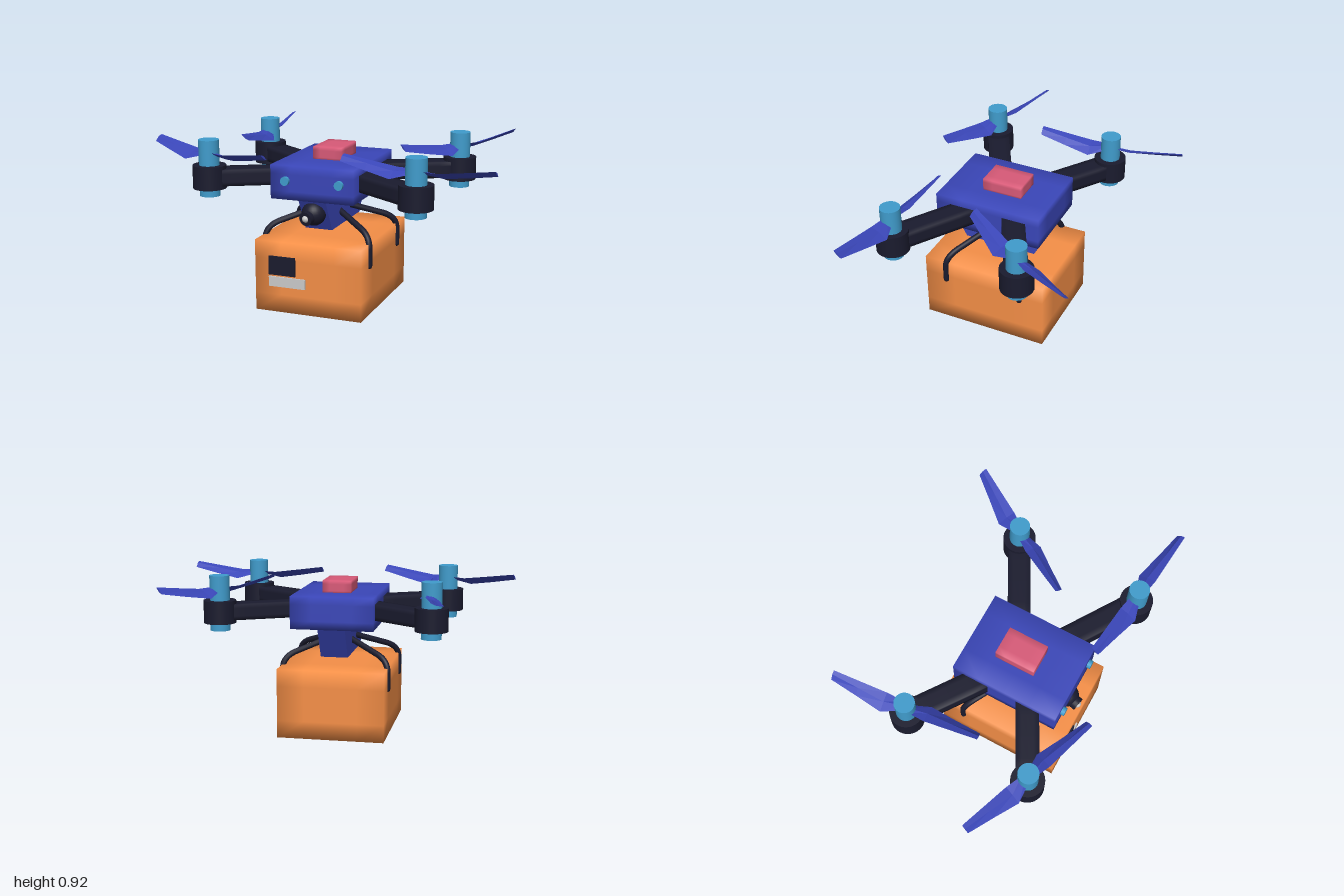
import * as THREE from 'three';
import { mergeVertices } from 'three/addons/utils/BufferGeometryUtils.js';

const mat = (color) => new THREE.MeshStandardMaterial({ color });
const blue = mat(0x3a46b8), black = mat(0x1a1b2e), cyan = mat(0x409ccc);
const red = mat(0xd85a78), orange = mat(0xf58f47), grey = mat(0xcccccc);
const bladeMat = mat(0x3a46b8);
bladeMat.side = THREE.DoubleSide;

export function createModel() {
  const root = new THREE.Group();

  function add(name, geo, material, x = 0, y = 0, z = 0, parent = root) {
    const mesh = new THREE.Mesh(geo, material);
    mesh.name = name;
    mesh.position.set(x, y, z);
    parent.add(mesh);
    return mesh;
  }

  // Box whose shading rolls softly over the edges while the outline stays square
  function softBox(w, h, d) {
    let g = new THREE.BoxGeometry(w, h, d, 4, 4, 4);
    g.deleteAttribute('uv');
    g.deleteAttribute('normal');
    g = mergeVertices(g, 1e-4);
    g.computeVertexNormals();
    return g;
  }

  // Box given by its minimum and maximum corners
  function span(name, material, [x0, y0, z0], [x1, y1, z1], soft = true) {
    const size = [x1 - x0, y1 - y0, z1 - z0];
    const geo = soft ? softBox(...size) : new THREE.BoxGeometry(...size);
    return add(name, geo, material, (x0 + x1) / 2, (y0 + y1) / 2, (z0 + z1) / 2);
  }

  // Fuselage, battery and parcel
  span('body', blue, [-0.25, 0.615, -0.143], [0.22, 0.8, 0.475]);
  span('battery', red, [-0.093, 0.79, 0.03], [0.07, 0.868, 0.26]);
  span('parcel', orange, [-0.322, 0, -0.2], [0.285, 0.394, 0.532]);
  span('parcelDarkLabel', black, [-0.24, 0.21, 0.52], [-0.087, 0.314, 0.541], false);
  span('parcelLightLabel', grey, [-0.24, 0.145, 0.52], [-0.03, 0.2, 0.541], false);

  // Keel below the body, tapering fore and aft towards its bottom
  const keelGeo = new THREE.BoxGeometry(0.155, 0.18, 0.618);
  const kp = keelGeo.attributes.position;
  for (let i = 0; i < kp.count; i++) {
    if (kp.getY(i) < 0) kp.setZ(i, kp.getZ(i) * 0.69);
  }
  keelGeo.computeVertexNormals();
  add('keel', keelGeo, blue, -0.0135, 0.534, 0.166);

  // Camera ball with a forward barrel and a small lens
  const camera = new THREE.Group();
  camera.name = 'camera';
  camera.position.set(-0.016, 0.545, 0.44);
  camera.rotation.set(0.12, -0.2, 0);
  root.add(camera);
  add('cameraBall', new THREE.SphereGeometry(0.066, 24, 16), black, 0, 0, 0, camera);
  const barrel = new THREE.CylinderGeometry(0.038, 0.038, 0.05, 20).rotateX(Math.PI / 2);
  add('cameraBarrel', barrel, black, 0, -0.005, 0.058, camera);
  add('cameraLens', new THREE.SphereGeometry(0.02, 16, 10), grey, 0, -0.005, 0.077, camera);

  // Front sensors
  for (const x of [-0.162, 0.143]) {
    const geo = new THREE.CylinderGeometry(0.024, 0.024, 0.04, 20).rotateX(Math.PI / 2);
    add('frontSensor', geo, cyan, x, 0.718, 0.476);
  }

  // Gripper legs: out and down from the keel, then straight down beside the parcel
  for (const s of [-1, 1]) {
    for (const f of [-1, 1]) {
      const p = (x, y, z) => new THREE.Vector3(-0.018 + s * x, y, 0.173 + f * z);
      const path = new THREE.CurvePath();
      path.add(new THREE.LineCurve3(p(0.04, 0.535, 0.05), p(0.23, 0.463, 0.175)));
      path.add(new THREE.QuadraticBezierCurve3(
        p(0.23, 0.463, 0.175), p(0.302, 0.437, 0.222), p(0.302, 0.37, 0.23)));
      path.add(new THREE.LineCurve3(p(0.302, 0.37, 0.23), p(0.302, 0.275, 0.23)));
      add('gripperLeg', new THREE.TubeGeometry(path, 36, 0.017, 10), black);
      add('gripperLegTip', new THREE.SphereGeometry(0.017, 10, 8), black,
        -0.018 + s * 0.302, 0.275, 0.173 + f * 0.23);
    }
  }

  // Blade lofted through thin slanted sections: [radius, low edge v, y, high edge v, y]
  function bladeGeometry() {
    const sections = [
      [0.02, 0.025, 0.83, -0.025, 0.85],
      [0.12, 0.065, 0.803, -0.034, 0.848],
      [0.27, 0.04, 0.828, -0.03, 0.868],
      [0.42, 0.018, 0.856, -0.026, 0.889],
    ];
    const pos = [], idx = [];
    for (const [r, va, ya, vb, yb] of sections) {
      const vm = (va + vb) / 2, ym = (ya + yb) / 2;
      pos.push(r, ya, va, r, ym + 0.009, vm, r, yb, vb, r, ym - 0.007, vm);
    }
    for (let i = 0; i < sections.length - 1; i++) {
      for (let j = 0; j < 4; j++) {
        const a = i * 4 + j, b = i * 4 + (j + 1) % 4;
        idx.push(a, a + 4, b, b, a + 4, b + 4);
      }
    }
    const e = (sections.length - 1) * 4;
    idx.push(e, e + 2, e + 1, e, e + 3, e + 2, 0, 1, 2, 0, 2, 3);
    const g = new THREE.BufferGeometry();
    g.setAttribute('position', new THREE.Float32BufferAttribute(pos, 3));
    g.setIndex(idx);
    const flat = g.toNonIndexed();
    flat.computeVertexNormals();
    return flat;
  }
  // The low edge lies to the left of the direction of the blade
  const blade = bladeGeometry().scale(1, 1, -1);
  const bi = blade.attributes.position;
  for (let i = 0; i < bi.count; i += 3) {
    const a = new THREE.Vector3().fromBufferAttribute(bi, i + 1);
    const b = new THREE.Vector3().fromBufferAttribute(bi, i + 2);
    bi.setXYZ(i + 1, b.x, b.y, b.z);
    bi.setXYZ(i + 2, a.x, a.y, a.z);
  }
  blade.computeVertexNormals();

  // Rotors: motor position, where the arm meets the body, and blade direction
  const rotors = [
    { name: 'backRight', m: [-0.58, -0.24], e: [-0.25, -0.01], d: [-0.085, -0.84] },
    { name: 'backLeft', m: [0.605, -0.2], e: [0.22, 0.005], d: [0.425, -0.705] },
    { name: 'frontRight', m: [-0.6, 0.5], e: [-0.25, 0.31], d: [-0.79, -0.285] },
    { name: 'frontLeft', m: [0.58, 0.545], e: [0.22, 0.315], d: [0.825, 0.1] },
  ];
  for (const { name, m, e, d } of rotors) {
    const dx = m[0] - e[0], dz = m[1] - e[1], len = Math.hypot(dx, dz);
    const inset = 0.08;
    const k = (len - inset) / (2 * len);
    const arm = add(name + 'Arm', softBox(len + inset, 0.088, 0.125), black,
      e[0] + dx * k, 0.712, e[1] + dz * k);
    arm.rotation.y = Math.atan2(-dz, dx);

    const rotor = new THREE.Group();
    rotor.name = name + 'Rotor';
    rotor.position.set(m[0], 0, m[1]);
    root.add(rotor);
    add('motorHousing', new THREE.CylinderGeometry(0.091, 0.091, 0.127, 28), black, 0, 0.713, 0, rotor);
    add('motorShaft', new THREE.CylinderGeometry(0.056, 0.056, 0.308, 28), cyan, 0, 0.761, 0, rotor);
    for (const turn of [0, Math.PI]) {
      const b = add('blade', blade, bladeMat, 0, 0, 0, rotor);
      b.rotation.y = Math.atan2(-d[1], d[0]) + turn;
    }
  }
  return root;
}
